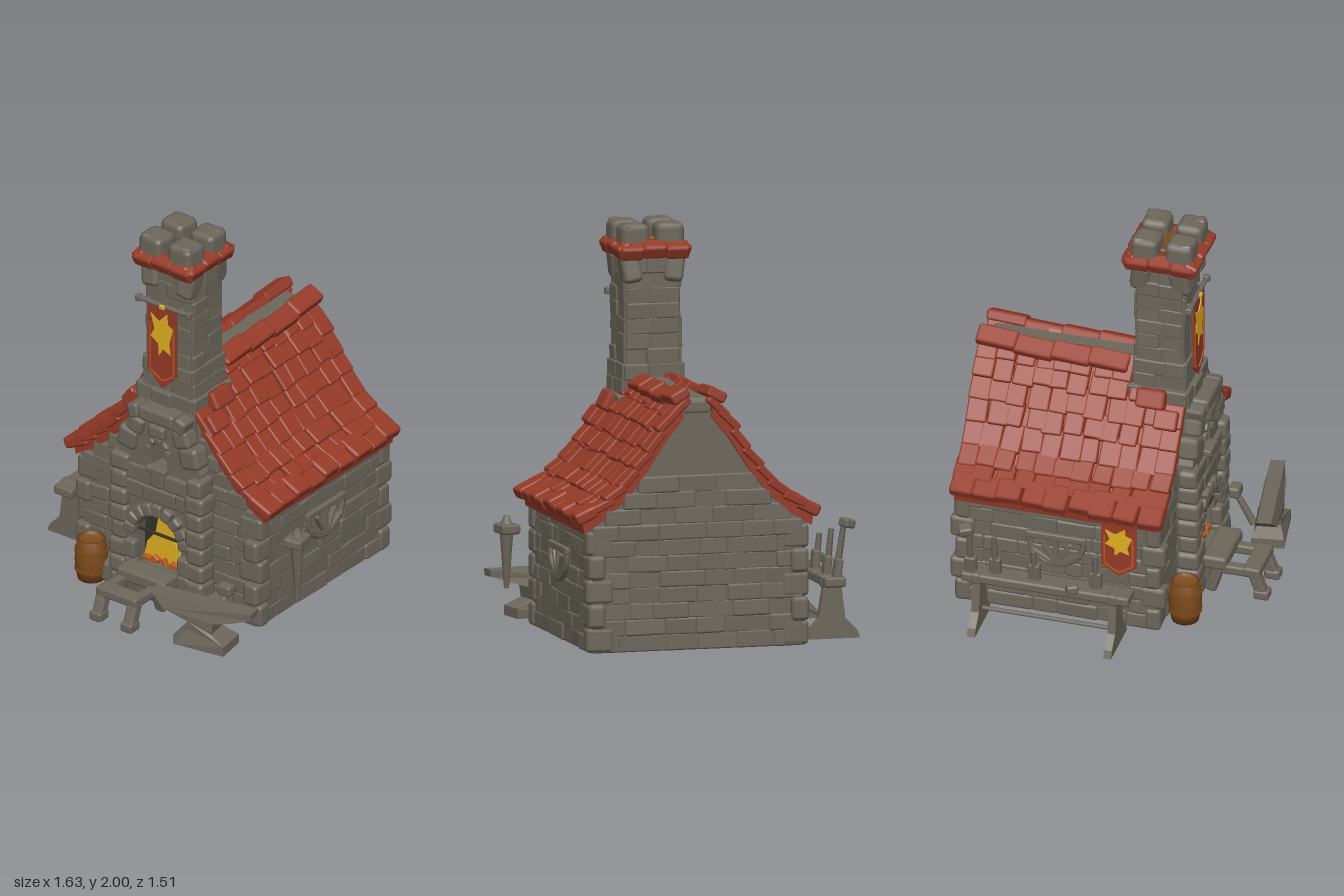
import * as THREE from 'three';
import { mergeGeometries } from 'three/addons/utils/BufferGeometryUtils.js';
import { RoundedBoxGeometry } from 'three/addons/geometries/RoundedBoxGeometry.js';

const CX = 0.05, TZ = 0.185; // house centre line, tower centre in z

export function createModel() {
  const model = new THREE.Group();
  let seed = 7;
  const rnd = (a, b) => {
    seed = (seed * 16807) % 2147483647;
    return a + (b - a) * (seed / 2147483647);
  };
  const mat = (name, color) => Object.assign(new THREE.MeshStandardMaterial({ color }), { name });
  const stone = mat('stone', 0x6c675b), red = mat('roofRed', 0x953a27), gold = mat('gold', 0xe0b020);
  const wood = mat('wood', 0x7c4a1c), ember = mat('emberOrange', 0xb9581c), dark = mat('sootDark', 0x35322c);

  // Helpers
  const add = (name, material, geos) => {
    const flat = geos.map(g => (g.index ? g.toNonIndexed() : g));
    const mesh = new THREE.Mesh(mergeGeometries(flat), material);
    mesh.name = name;
    model.add(mesh);
    return mesh;
  };
  const box = (w, h, d, x, y, z, rx = 0, ry = 0, rz = 0) =>
    new RoundedBoxGeometry(w, h, d, 1, Math.min(w, h, d) * 0.25)
      .rotateX(rx).rotateY(ry).rotateZ(rz).translate(x, y, z);
  const cyl = (r1, r2, h, x, y, z, n = 10, rx = 0, rz = 0) =>
    new THREE.CylinderGeometry(r1, r2, h, n).rotateX(rx).rotateZ(rz).translate(x, y, z);
  const shapeOf = pts => new THREE.Shape(pts.map(p => new THREE.Vector2(...p)));
  const extrude = (shape, z0, z1) =>
    new THREE.ExtrudeGeometry(shape, { depth: z1 - z0, bevelEnabled: false, curveSegments: 10 }).translate(0, 0, z0);
  // A course of uneven stones from (x0,z0) to (x1,z1)
  const course = (out, x0, z0, x1, z1, y, h, depth, size) => {
    const len = Math.hypot(x1 - x0, z1 - z0), n = Math.max(1, Math.round(len / size));
    const cuts = [0];
    for (let i = 1; i < n; i++) cuts.push((i + rnd(-0.28, 0.28)) / n);
    cuts.push(1);
    const ry = -Math.atan2(z1 - z0, x1 - x0);
    for (let i = 0; i < n; i++) {
      const t = (cuts[i] + cuts[i + 1]) / 2, w = (cuts[i + 1] - cuts[i]) * len;
      out.push(box(w + 0.006, h + 0.006, depth + rnd(-0.012, 0.014),
        x0 + (x1 - x0) * t, y, z0 + (z1 - z0) * t, rnd(-0.05, 0.05), ry + rnd(-0.03, 0.03), rnd(-0.02, 0.02)));
    }
  };

  // Concave roof profile: distance from the centre line, height
  const prof = [[0.08, 1.22], [0.17, 1.11], [0.26, 0.97], [0.37, 0.83], [0.48, 0.735], [0.59, 0.665]];
  const halfAt = y => {
    for (let i = 0; i < prof.length - 1; i++) {
      const [a, ya] = prof[i], [b, yb] = prof[i + 1];
      if (y <= ya && y >= yb) return a + (b - a) * (ya - y) / (ya - yb);
    }
    return y > 1.22 ? 0.06 : 0.6;
  };

  // House core with gables
  const side = s => prof.slice(0, 5).map(([d, y]) => [CX + s * d, y - 0.05]);
  add('houseCore', stone, [extrude(shapeOf([
    [CX - 0.53, 0], [CX + 0.53, 0], [CX + 0.53, 0.64], ...side(1).reverse(), ...side(-1), [CX - 0.53, 0.64]]), -0.715, 0.28)]);

  // Wall stones, courses on all four sides and up both gables
  const walls = [];
  for (let i = 0; i < 14; i++) {
    const h = 0.078, y = 0.039 + i * h;
    const half = y < 0.62 ? 0.535 : Math.min(0.5, halfAt(y + 0.06) - 0.03);
    course(walls, CX - half, 0.285, CX + half, 0.285, y, h, 0.045, 0.15);
    if (y < 0.85) course(walls, CX - half, -0.715, CX + half, -0.715, y, h, 0.04, 0.19);
    if (y < 0.62) for (const s of [-1, 1]) course(walls, CX + s * 0.53, -0.72, CX + s * 0.53, 0.29, y, h, 0.045, 0.17);
  }
  for (const sx of [-1, 1]) for (const z of [-0.7, 0.27]) for (let i = 0; i < 5; i++)
    walls.push(box(i % 2 ? 0.09 : 0.14, 0.12, i % 2 ? 0.13 : 0.08, CX + sx * (i % 2 ? 0.518 : 0.498), 0.06 + i * 0.12, z, 0, rnd(-0.06, 0.06), 0));
  add('wallStones', stone, walls);

  // Roof slabs and overlapping tiles
  const slabs = [], tiles = [];
  for (const s of [-1, 1]) {
    const top = prof.map(([d, y]) => [CX + s * d, y - 0.015]);
    const low = prof.map(([d, y]) => [CX + s * (d - 0.01), y - 0.075]).reverse();
    const pts = [...top, ...low];
    slabs.push(extrude(shapeOf(pts), -0.735, 0.3));
    for (let r = 0; r < 8; r++) {
      const f = (r + 0.35) / 7.7 * 5, k = Math.min(4, Math.floor(f)), t = f - k;
      const [a, ya] = prof[k], [b, yb] = prof[k + 1];
      const ang = Math.atan2(yb - ya, s * (b - a)) + s * 0.12;
      const eave = r === 7, n = eave ? 9 : 11;
      for (let i = 0; i < n; i++) {
        const w = 1.08 / n, z = -0.75 + (i + 0.5) * w + (i > 0 && i < n - 1 ? rnd(-0.015, 0.015) : 0);
        if (r < 2 && z > 0.12) continue;
        tiles.push(box((eave ? 0.13 : 0.135) + rnd(-0.015, 0.02), eave ? 0.06 : 0.04, w * rnd(0.95, 1.12),
          CX + s * (a + (b - a) * t), ya + (yb - ya) * t + rnd(-0.008, 0.006), z, 0, rnd(-0.05, 0.05), ang));
      }
    }
  }
  add('roofSlabs', red, slabs);
  add('roofTiles', red, tiles);

  // Ridge: stone strip between two lines of red caps
  add('ridgeStrip', stone, [box(0.14, 0.07, 0.76, CX, 1.205, -0.335), box(0.15, 0.07, 0.12, CX, 1.195, -0.66)]);
  const caps = [];
  for (const s of [-1, 1]) for (let i = 0; i < 4; i++)
    caps.push(box(0.1, 0.055, 0.205, CX + s * 0.095, 1.225 + (i === 0 ? 0.025 : 0), -0.655 + i * 0.19, 0.05, s * 0.04, -s * 0.5));
  add('ridgeCaps', red, caps);

  // Chimney tower
  const tower = [box(0.26, 1.0, 0.23, CX, 1.35, TZ)];
  const th = 0.075;
  for (let i = 0; i < 11; i++) {
    const y = 1.0 + i * th + th / 2;
    const hx = y < 1.12 ? 0.165 : y < 1.3 ? 0.145 : 0.133, hz = hx - 0.018;
    for (const s of [-1, 1]) {
      course(tower, CX - hx, TZ + s * hz, CX + hx, TZ + s * hz, y, th, 0.03, 0.13);
      course(tower, CX + s * hx, TZ - hz, CX + s * hx, TZ + hz, y, th, 0.03, 0.13);
    }
  }
  // Corbels under the cap, and crenellations above it
  for (const sx of [-1, 1]) for (const sz of [-1, 1]) {
    tower.push(box(0.1, 0.15, 0.1, CX + sx * 0.11, 1.775, TZ + sz * 0.1, -sz * 0.15, 0, -sx * 0.15));
    tower.push(box(0.145, 0.13, 0.14, CX + sx * 0.09, 1.925 + rnd(0, 0.01), TZ + 0.01 + sz * 0.088, 0, rnd(-0.08, 0.08), 0));
    tower.push(box(0.06, 0.06, 0.06, CX + sx * 0.12, 1.965, TZ + 0.01 + sz * 0.12, 0, 0.2, 0));
  }
  add('chimneyTower', stone, tower);
  const ring = [];
  for (const s of [-1, 1]) for (const o of [-1, 0, 1]) {
    ring.push(box(0.125, 0.075, 0.08, CX + o * 0.115, 1.87 - Math.abs(o) * 0.006, TZ + 0.005 + s * 0.15, s * 0.45, 0, 0));
    ring.push(box(0.08, 0.075, 0.125, CX + s * 0.145, 1.87 - Math.abs(o) * 0.006, TZ + 0.005 + o * 0.115, 0, 0, -s * 0.45));
  }
  add('chimneyRoofRing', red, ring);
  add('chimneyInside', wood, [box(0.2, 0.05, 0.2, CX, 1.9, TZ)]);

  // Red tiles stepping around the tower foot
  const foot = [];
  for (const s of [-1, 1]) foot.push(box(0.07, 0.1, 0.15, CX + s * 0.2, 1.11, 0.16, 0, 0, s * 0.5), box(0.1, 0.05, 0.12, CX + s * 0.25, 1.03, 0.25, 0, 0, -s * 0.9));
  add('towerFootTiles', red, foot);

  // Forge front: arched opening, pilasters, stepped hood
  const face = shapeOf([[-0.2, 0], [0.3, 0], [0.3, 0.78], [0.21, 0.95], [0.19, 1.03], [-0.09, 1.03], [-0.11, 0.95], [-0.2, 0.78]]);
  const arch = new THREE.Path();
  arch.moveTo(-0.085, 0.02).lineTo(0.185, 0.02).lineTo(0.185, 0.34).absarc(CX, 0.34, 0.135, 0, Math.PI, false).lineTo(-0.085, 0.02);
  const niche = new THREE.Path();
  niche.moveTo(0.005, 0.75).lineTo(0.095, 0.75).lineTo(0.095, 0.84).absarc(CX, 0.84, 0.045, 0, Math.PI, false).lineTo(0.005, 0.75);
  face.holes.push(arch, niche);
  const forge = [extrude(face, 0.27, 0.385)];
  for (let i = 0; i < 9; i++) {
    const a = (i + 0.5) * Math.PI / 9;
    forge.push(box(0.07, 0.058, 0.07, CX + Math.cos(a) * 0.17, 0.34 + Math.sin(a) * 0.17, 0.385, 0, 0, a));
    const n = Math.PI * i / 8;
    if (i < 9 && i % 2 === 0) forge.push(box(0.03, 0.04, 0.04, CX + Math.cos(n) * 0.06, 0.84 + Math.sin(n) * 0.06, 0.385, 0, 0, n));
  }
  for (const s of [-1, 1]) {
    for (let i = 0; i < 8; i++) forge.push(box(rnd(0.09, 0.12), 0.1, rnd(0.1, 0.13), CX + s * 0.235, 0.05 + i * 0.095, 0.365, 0, rnd(-0.06, 0.06), 0));
    for (let i = 0; i < 3; i++) forge.push(box(0.07, 0.1, 0.06, CX + s * 0.165, 0.05 + i * 0.1, 0.39));
    forge.push(box(0.12, 0.12, 0.11, CX + s * 0.19, 0.86, 0.355, 0, 0, s * 0.2), box(0.1, 0.1, 0.1, CX + s * 0.14, 0.95, 0.36, 0, 0, s * 0.3));
    forge.push(box(0.12, 0.12, 0.15, CX + s * 0.32, 0.06, 0.33), box(0.07, 0.08, 0.1, CX + s * 0.14, 1.03, 0.37, 0, 0, -s * 0.3));
  }
  for (let i = 0; i < 2; i++) course(forge, -0.19, 0.375, 0.29, 0.375, 0.59 + i * 0.09, 0.085, 0.06, 0.15);
  forge.push(box(0.22, 0.08, 0.12, CX, 1.04, 0.365), box(0.1, 0.07, 0.1, CX, 0.955, 0.37));
  forge.push(box(0.12, 0.035, 0.06, CX, 0.74, 0.395), box(0.27, 0.19, 0.16, CX, 0.1, 0.36));
  add('forgeFront', stone, forge);
  add('forgeBack', dark, [box(0.28, 0.3, 0.008, CX, 0.34, 0.318), box(0.28, 0.014, 0.014, CX, 0.365, 0.375)]);
  add('fire', gold, [extrude(shapeOf([[-0.07, 0.2], [0.17, 0.2], [0.15, 0.29], [0.1, 0.35], [0.08, 0.45], [0.02, 0.45], [0.0, 0.35], [-0.05, 0.29]]), 0.325, 0.35)]);
  add('embers', ember, [-0.04, 0.01, 0.07, 0.13].map((x, i) => box(0.05, 0.025 + (i % 2) * 0.015, 0.03, x, 0.205, 0.36, 0, 0, i)));

  // Hearth step with a low open frame in front
  const step = [box(0.3, 0.07, 0.13, 0.04, 0.17, 0.465), box(0.25, 0.05, 0.09, 0.02, 0.145, 0.655)];
  for (const s of [-1, 1]) {
    const x = 0.02 + s * 0.095;
    step.push(box(0.055, 0.05, 0.22, x, 0.14, 0.56), box(0.06, 0.2, 0.06, x, 0.1, 0.47, 0.3));
    step.push(box(0.06, 0.17, 0.06, x, 0.08, 0.685, -0.35), box(0.07, 0.05, 0.08, x, 0.025, 0.705));
  }
  add('hearthFrame', stone, step);

  // Banners: cloth, gold edging and a plain gold patch
  const banner = (name, w, h, parts) => {
    const g = new THREE.Group();
    g.name = name;
    const out = k => [[-w / 2 * k, 0.02 - 0.02 * k], [-w / 2 * k, -h * 0.8 * k], [0, -h * k], [w / 2 * k, -h * 0.8 * k], [w / 2 * k, 0.02 - 0.02 * k]];
    const edge = [];
    for (const s of [-1, 1]) edge.push([s * w * 0.4, -h * 0.5, h * 0.55, 0], [s * w * 0.2, -h * 0.85, w * 0.46, -s * 1.02]);
    const patch = shapeOf([[-0.38, -0.1], [-0.1, -0.17], [0.18, -0.05], [0.2, -0.18], [0.38, -0.22], [0.25, -0.42], [0.3, -0.55], [0.05, -0.5], [-0.1, -0.6], [-0.12, -0.45], [-0.38, -0.38], [-0.25, -0.28]].map(([x, y]) => [x * w, y * h]));
    const pieces = [['cloth', red, extrude(shapeOf(out(1)), 0, 0.008)], ['patch', gold, extrude(patch, 0.008, 0.012)],
      ...edge.map(([x, y, l, a]) => ['edging', ember, new THREE.BoxGeometry(0.008, l, 0.004).rotateZ(a).translate(x, y, 0.01)])];
    for (const [n, m, geo] of pieces) g.add(Object.assign(new THREE.Mesh(geo, m), { name: n }));
    g.position.set(...parts);
    model.add(g);
    return g;
  };
  banner('towerBanner', 0.18, 0.45, [0.04, 1.62, 0.34]);
  banner('sideBanner', 0.18, 0.29, [-0.507, 0.58, 0.1]).rotation.y = -Math.PI / 2;
  add('bannerRod', stone, [cyl(0.013, 0.013, 0.31, 0.045, 1.63, 0.34, 8, 0, Math.PI / 2),
    ...[-0.11, 0.2].map(x => box(0.03, 0.035, 0.035, x, 1.63, 0.34)), ...[-0.06, 0.14].map(x => box(0.02, 0.02, 0.1, x, 1.63, 0.3))]);
  add('rodCaps', gold, [box(0.03, 0.022, 0.015, 0.045, 1.63, 0.355)]);

  // Fan-shaped wall vents on both sides
  const vents = [];
  for (const s of [-1, 1]) {
    const x = CX + s * 0.56;
    vents.push(box(0.03, 0.035, 0.31, x, 0.455, -0.22));
    vents.push(new THREE.TorusGeometry(0.14, 0.016, 6, 14, Math.PI).rotateZ(Math.PI).rotateY(Math.PI / 2).translate(x, 0.44, -0.22));
    for (let i = 1; i < 6; i++) {
      const a = (i / 6 - 0.5) * Math.PI;
      vents.push(box(0.03, 0.15, 0.022, x, 0.3 + Math.cos(a) * 0.075, -0.22 + Math.sin(a) * 0.075, a));
    }
  }
  add('wallVents', stone, vents);

  // Barrel
  const b = [[0, 0], [0.068, 0], [0.08, 0.06], [0.083, 0.11], [0.08, 0.16], [0.07, 0.22], [0.06, 0.22], [0.058, 0.2], [0, 0.2]];
  const barrel = [new THREE.LatheGeometry(b.map(p => new THREE.Vector2(...p)), 16).translate(-0.36, 0, 0.395)];
  for (const y of [0.06, 0.16]) barrel.push(cyl(0.084, 0.084, 0.016, -0.36, y, 0.395, 16));
  add('barrel', wood, barrel);

  // Anvil, turned slightly, with a hammer standing behind
  const anvil = new THREE.Group();
  anvil.name = 'anvil';
  const outline = shapeOf([[-0.28, 0.24], [0.28, 0.245], [0.275, 0.21], [0.18, 0.18], [0.08, 0.15], [0.07, 0.09], [0.15, 0.05], [0.15, 0], [-0.13, 0], [-0.13, 0.05], [-0.06, 0.09], [-0.06, 0.13], [-0.2, 0.17]]);
  const ag = extrude(outline, -0.06, 0.06), p = ag.attributes.position;
  for (let i = 0; i < p.count; i++) p.setZ(i, p.getZ(i) * (p.getY(i) < 0.06 ? 1.35 : Math.abs(p.getX(i)) > 0.25 ? 0.6 : 0.95));
  ag.computeVertexNormals();
  anvil.add(Object.assign(new THREE.Mesh(ag, stone), { name: 'anvilBody' }));
  anvil.position.set(0.48, 0, 0.585);
  anvil.rotation.y = 0.16;
  model.add(anvil);
  add('anvilHammer', stone, [cyl(0.016, 0.02, 0.2, 0.48, 0.13, 0.45, 8, -0.5), box(0.08, 0.06, 0.06, 0.48, 0.22, 0.405)]);

  // Hanging tool beside the wall
  add('hangingTool', stone, [cyl(0.035, 0.013, 0.28, 0.757, 0.34, 0.195, 8), box(0.1, 0.05, 0.12, 0.755, 0.495, 0.195, 0, 0.15), cyl(0.012, 0.03, 0.04, 0.757, 0.54, 0.195, 6)]);

  // Tool rack: two splayed posts, a top beam, a low rail and leaning tools
  const rack = [box(0.11, 0.05, 0.86, -0.68, 0.285, -0.215), cyl(0.012, 0.012, 0.7, -0.68, 0.09, -0.22, 6, Math.PI / 2)];
  const post = shapeOf([[-0.82, 0], [-0.54, 0], [-0.555, 0.04], [-0.61, 0.1], [-0.635, 0.26], [-0.725, 0.26], [-0.745, 0.1], [-0.805, 0.04]]);
  for (const z of [0.13, -0.565]) rack.push(extrude(post, z - 0.02, z + 0.02), box(0.12, 0.06, 0.05, -0.68, 0.285, z));
  for (const [x, z, h, lean] of [[-0.71, -0.6, 0.29, 0.15], [-0.69, -0.48, 0.25, 0.1], [-0.69, -0.28, 0.2, 0.1], [-0.68, 0.03, 0.22, 0.05]]) {
    rack.push(cyl(0.014, 0.02, h, x, 0.28 + h / 2, z, 6, 0, lean), box(0.04, 0.1, 0.06, x + 0.01, 0.35, z, 0, 0, lean));
  }
  rack.push(box(0.06, 0.045, 0.07, -0.745, 0.575, -0.615, 0, 0.4, 0.2), box(0.05, 0.05, 0.06, -0.75, 0.33, -0.07, 0, 0.5, 0));
  add('toolRack', stone, rack);

  return model;
}
